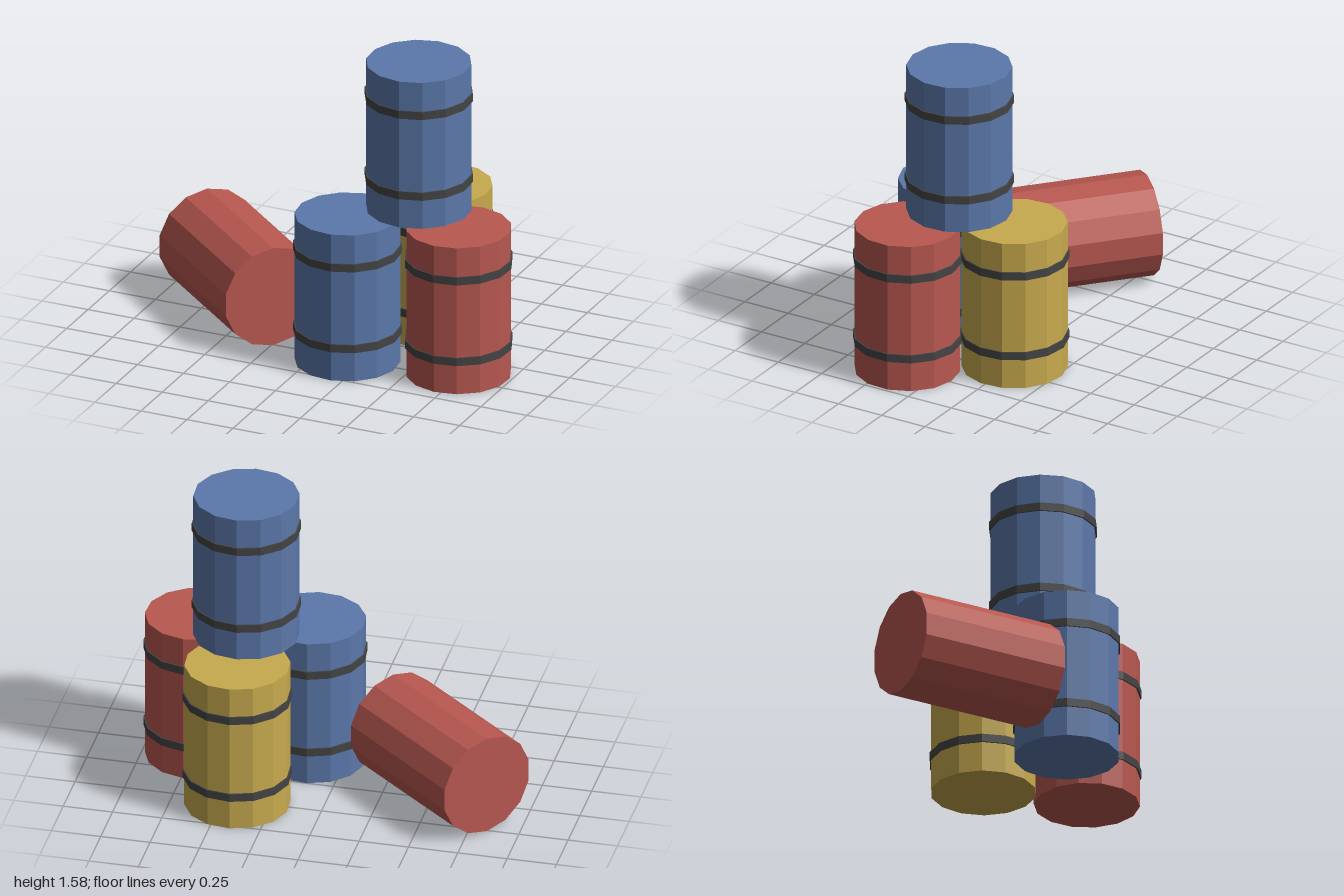
import * as THREE from 'three';

const SIDES = 14, RADIUS = 0.2625, HEIGHT = 0.7875;
const rad = THREE.MathUtils.degToRad;

function paint(name, color) {
  const m = new THREE.MeshStandardMaterial({ color, flatShading: true });
  m.name = name;
  return m;
}

export function createModel() {
  const model = new THREE.Group();
  model.name = 'barrelStack';

  const red = paint('red', 0xb85850);
  const blue = paint('blue', 0x5b78aa);
  const yellow = paint('yellow', 0xc8aa4e);
  const dark = paint('darkBand', 0x444444);

  const drumGeo = new THREE.CylinderGeometry(RADIUS, RADIUS, HEIGHT, SIDES);
  const bandGeo = new THREE.CylinderGeometry(0.27, 0.27, 0.042, SIDES);

  // Upright barrel: drum plus two hoops, standing with its base at y
  function barrel(name, material, x, y, z, turn) {
    const group = new THREE.Group();
    group.name = name;
    const drum = new THREE.Mesh(drumGeo, material);
    drum.name = 'drum';
    group.add(drum);
    for (const side of [-1, 1]) {
      const band = new THREE.Mesh(bandGeo, dark);
      band.name = side < 0 ? 'lowerBand' : 'upperBand';
      band.position.y = side * 0.218;
      group.add(band);
    }
    group.position.set(x, y + HEIGHT / 2, z);
    group.rotation.y = rad(turn);
    model.add(group);
  }

  // Three barrels on the ground, one stacked on top
  barrel('blueBarrel', blue, 0.165, 0, 0.262, 6.7);
  barrel('redBarrel', red, 0.727, 0, 0.172, -2.9);
  barrel('yellowBarrel', yellow, 0.424, 0, -0.263, 5);
  barrel('topBarrel', blue, 0.45, HEIGHT, 0.04, 2.9);

  // Plain barrel lying on its side
  const fallen = new THREE.Mesh(drumGeo.clone().rotateX(Math.PI / 2), red);
  fallen.name = 'fallenBarrel';
  fallen.position.set(-0.54, RADIUS, 0);
  fallen.rotation.y = rad(49.3);
  model.add(fallen);

  return model;
}
